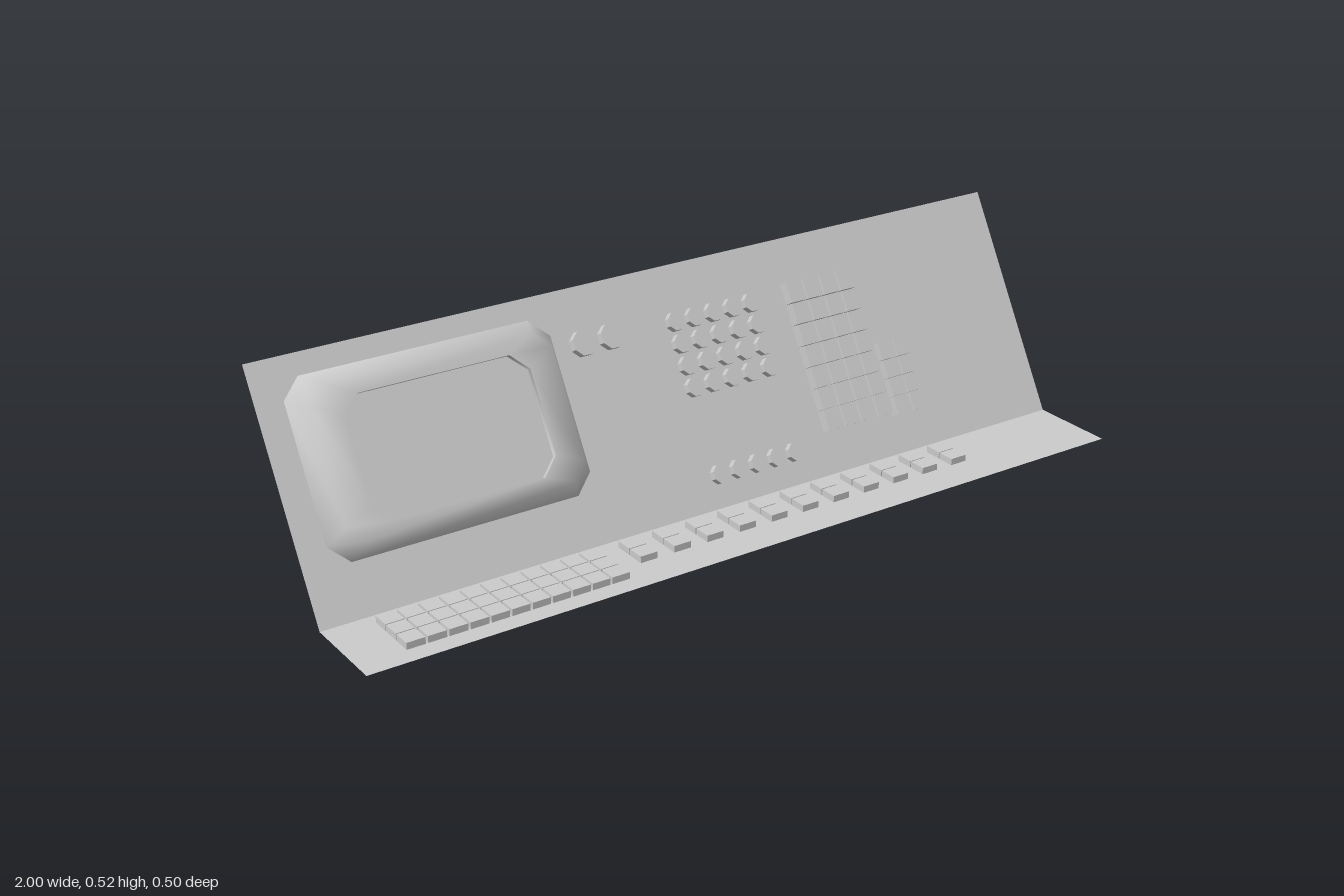
import * as THREE from 'three';
import { toCreasedNormals } from 'three/addons/utils/BufferGeometryUtils.js';

const material = new THREE.MeshStandardMaterial({ color: 0xcccccc, side: THREE.DoubleSide });
const SHELF_Y = 0.022, HINGE_Z = 0.036, PANEL = 0.576;

// Remove one face group (the underside), leaving a hollow cap
function openBelow(geo, group) {
  const { start, count } = geo.groups[group];
  const index = Array.from(geo.index.array);
  index.splice(start, count);
  geo.setIndex(index);
  geo.clearGroups();
  return geo;
}

const keyGeo = (w, h, d) => openBelow(new THREE.BoxGeometry(w, h, d), 3);

function buttonGeo(radius, h) {
  const geo = new THREE.CylinderGeometry(radius, radius, h, 8);
  return toCreasedNormals(openBelow(geo, 2).rotateY(Math.PI / 8), 0.5);
}

function add(parent, name, geo, x = 0, y = 0, z = 0) {
  const mesh = new THREE.Mesh(geo, material);
  mesh.name = name;
  mesh.position.set(x, y, z);
  parent.add(mesh);
  return mesh;
}

// A grid of identical parts
function grid(parent, name, geo, y, xs, zs) {
  const group = new THREE.Group();
  group.name = name;
  for (const x of xs) for (const z of zs) add(group, name + 'Part', geo, x, y, z);
  parent.add(group);
}

const steps = (n, start, pitch) => Array.from({ length: n }, (_, i) => start + i * pitch);

// Chamfered rectangle in the sheet plane; s runs up the sheet (-z)
function octagon([x0, x1, s0, s1, c, h]) {
  return [
    [x0 + c, s0], [x1 - c, s0], [x1, s0 + c], [x1, s1 - c],
    [x1 - c, s1], [x0 + c, s1], [x0, s1 - c], [x0, s0 + c],
  ].map(([x, s]) => [x, h, -s]);
}

// Skin consecutive octagons and close the last with a fan
function loftOctagons(rings) {
  const pos = [], index = [];
  rings.forEach((r) => octagon(r).forEach((p) => pos.push(...p)));
  for (let r = 0; r < rings.length - 1; r++) {
    for (let i = 0; i < 8; i++) {
      const a = r * 8 + i, b = r * 8 + (i + 1) % 8;
      index.push(a, b, b + 8, a, b + 8, a + 8);
    }
  }
  const last = (rings.length - 1) * 8;
  for (let i = 1; i < 7; i++) index.push(last, last + i, last + i + 1);
  const geo = new THREE.BufferGeometry();
  geo.setAttribute('position', new THREE.Float32BufferAttribute(pos, 3));
  geo.setIndex(index);
  return toCreasedNormals(geo, 1.2);
}

export function createModel() {
  const model = new THREE.Group();
  model.name = 'controlConsole';

  // Horizontal shelf with its keys
  const shelf = new THREE.Group();
  shelf.name = 'shelf';
  model.add(shelf);
  const depth = 0.25 - HINGE_Z;
  add(shelf, 'shelfSheet', new THREE.PlaneGeometry(2, depth).rotateX(-Math.PI / 2),
    0, SHELF_Y, HINGE_Z + depth / 2);
  const deskKey = keyGeo(0.044, 0.038, 0.044);
  const deskRows = steps(3, 0.088, 0.0465);
  grid(shelf, 'keyboard', deskKey, 0.019, steps(11, -0.864, 0.0495), deskRows);
  grid(shelf, 'pairedKeys', deskKey, 0.019, steps(11, -0.267, 0.0885), deskRows.slice(0, 2));

  // Back panel, leaning 30 degrees; local y is its normal, -z runs up it
  const panel = new THREE.Group();
  panel.name = 'backPanel';
  panel.position.set(0, SHELF_Y, HINGE_Z);
  panel.rotation.x = Math.PI / 3;
  model.add(panel);
  add(panel, 'panelSheet', new THREE.PlaneGeometry(2, PANEL).rotateX(-Math.PI / 2), 0, 0, -PANEL / 2);

  // Monitor: sloping frame, flat rim, recessed screen
  add(panel, 'monitor', loftOctagons([
    [-0.935, -0.29, 0.12, 0.526, 0.045, 0],
    [-0.902, -0.323, 0.151, 0.493, 0.04, 0.057],
    [-0.835, -0.39, 0.178, 0.456, 0.04, 0.057],
    [-0.835, -0.39, 0.178, 0.456, 0.04, 0.043],
  ]));

  // Round dials and push buttons
  grid(panel, 'dials', buttonGeo(0.031, 0.046), -0.003, [-0.22, -0.146], [-0.446]);
  const button = buttonGeo(0.0235, 0.045);
  const buttonColumns = steps(5, 0.028, 0.0535);
  grid(panel, 'buttonBlock', button, -0.004, buttonColumns, steps(4, -0.443, 0.0525));
  grid(panel, 'buttonRow', button, -0.004, buttonColumns, [-0.077]);

  // Tall and short key banks
  grid(panel, 'tallKeyBank', keyGeo(0.044, 0.06, 0.05), -0.003,
    steps(4, 0.363, 0.0495), steps(7, -0.442, 0.0527));
  grid(panel, 'shortKeyBank', keyGeo(0.043, 0.06, 0.043), 0,
    steps(2, 0.567, 0.047), steps(4, -0.25, 0.0455));

  return model;
}
